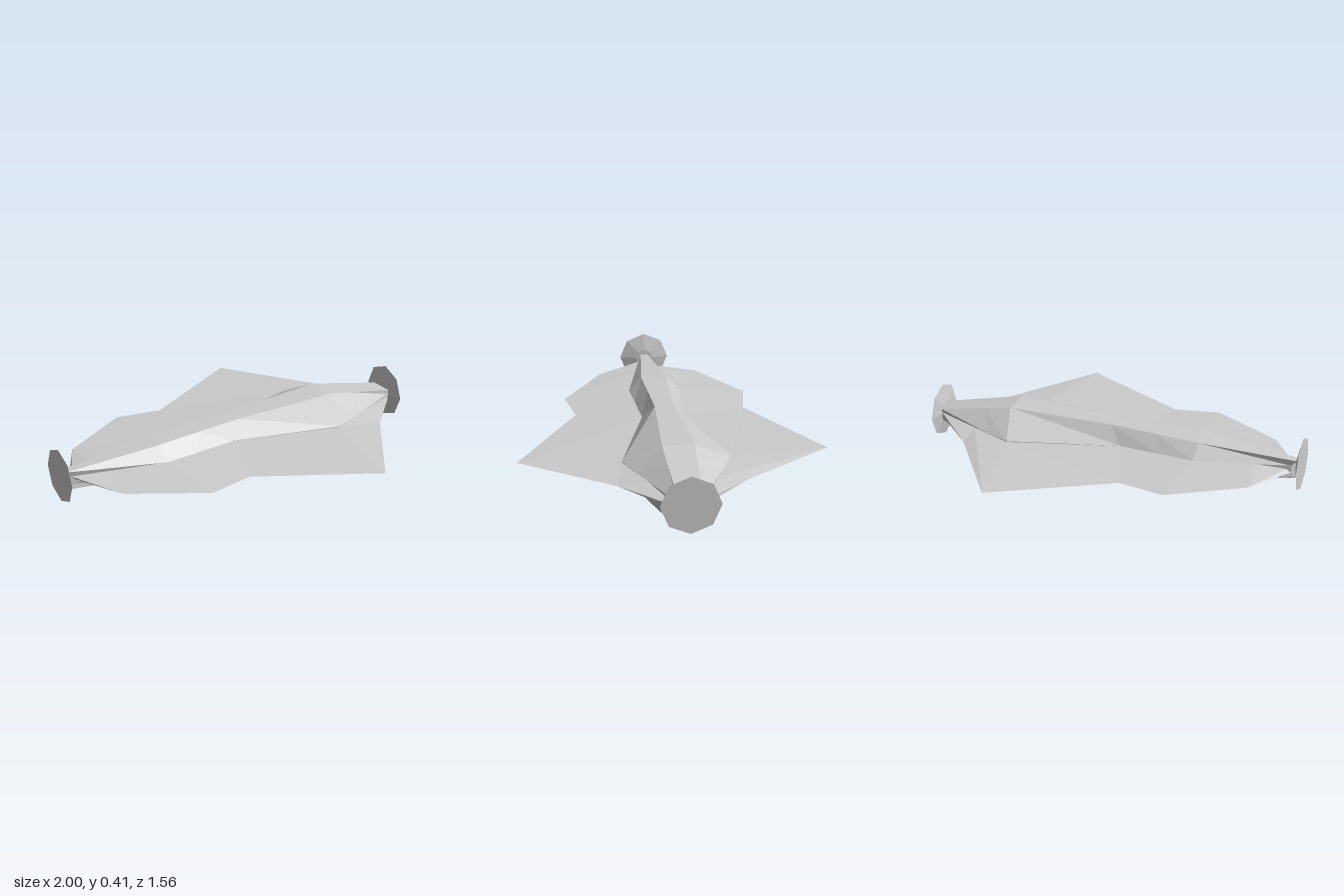
import * as THREE from 'three';

const material = new THREE.MeshStandardMaterial({ color: 0xcccccc, flatShading: true });

// Skin a list of closed rings of [x, y, z] points, ordered along +x
function loft(rings, capped) {
  const pos = [];
  const tri = (a, b, c) => pos.push(...a, ...b, ...c);
  for (let i = 0; i < rings.length - 1; i++) {
    const p = rings[i], q = rings[i + 1], n = p.length;
    for (let j = 0; j < n; j++) {
      const k = (j + 1) % n;
      tri(p[j], p[k], q[k]);
      tri(p[j], q[k], q[j]);
    }
  }
  if (capped) {
    const first = rings[0], last = rings[rings.length - 1];
    for (let j = 1; j < first.length - 1; j++) {
      tri(first[0], first[j + 1], first[j]);
      tri(last[0], last[j], last[j + 1]);
    }
  }
  const geometry = new THREE.BufferGeometry();
  geometry.setAttribute('position', new THREE.Float32BufferAttribute(pos, 3));
  geometry.computeVertexNormals();
  return geometry;
}

const mirrorRing = (ring) => ring.map(([x, y, z]) => [x, y, -z]).reverse();

// Long edges of the hull from tail to nose, left half
const ridge = [[-0.98, 0.285, 0.02], [-0.48, 0.325, 0.07], [-0.25, 0.333, 0.06], [0, 0.34, 0.05],
  [0.56, 0.36, 0.08], [0.71, 0.33, 0.073], [0.98, 0.275, 0.06]];
const upper = [[-0.95, 0.255, 0.02], [-0.47, 0.255, 0.14], [-0.28, 0.255, 0.126], [-0.07, 0.257, 0.11],
  [0.5, 0.26, 0.27], [0.64, 0.257, 0.21], [0.98, 0.25, 0.06]];
const lower = upper.map(([x, , z]) => [x, 0.217, z]);
const keel = [[-0.98, 0.19, 0.02], [-0.48, 0.15, 0.06], [-0.17, 0.135, 0.06], [-0.03, 0.03, 0.085],
  [0.56, 0, 0.085], [0.71, 0.11, 0.085], [0.98, 0.205, 0.05]];
// The chine leaves the lower edge only along the belly
const chine = lower.slice();
chine[3] = [-0.09, 0.11, 0.12];
chine[4] = [0.48, 0.11, 0.21];

// Wing outline, with the matching points along its root
const wingRoot = [[-0.95, 0.02], [-0.78, 0.06], [-0.47, 0.14], [-0.07, 0.11], [0.5, 0.27], [0.73, 0.17], [0.98, 0.06]];
const wingEdge = [[-0.93, 0.02], [-0.8, 0.28], [-0.43, 0.5], [-0.19, 0.455], [0.4, 0.78], [0.73, 0.31], [0.98, 0.06]];

export function createModel() {
  const group = new THREE.Group();
  const add = (name, geometry) => {
    const mesh = new THREE.Mesh(geometry, material);
    mesh.name = name;
    group.add(mesh);
    return mesh;
  };

  // Faceted hull with its belly
  add('hull', loft(ridge.map((_, i) => {
    const half = [ridge[i], upper[i], lower[i], chine[i], keel[i]];
    return [...half, ...mirrorRing(half)];
  }), true));

  // Thin wings tapering to a sharp edge
  const wingRings = wingRoot.map(([x, z], i) => [
    [x, 0.256, z], [wingEdge[i][0], 0.236, wingEdge[i][1]], [x, 0.217, z],
  ]);
  add('leftWing', loft(wingRings, false));
  add('rightWing', loft(wingRings.map(mirrorRing), false));

  // Flared octagonal plates at both ends
  const nosePlate = add('nosePlate', new THREE.CylinderGeometry(0.145, 0.05, 0.02, 8));
  nosePlate.rotation.z = -Math.PI / 2;
  nosePlate.position.set(0.99, 0.248, 0);
  const tailPlate = add('tailPlate', new THREE.CylinderGeometry(0.14, 0.048, 0.022, 8));
  tailPlate.rotation.z = Math.PI / 2;
  tailPlate.position.set(-0.989, 0.265, 0);
  return group;
}
